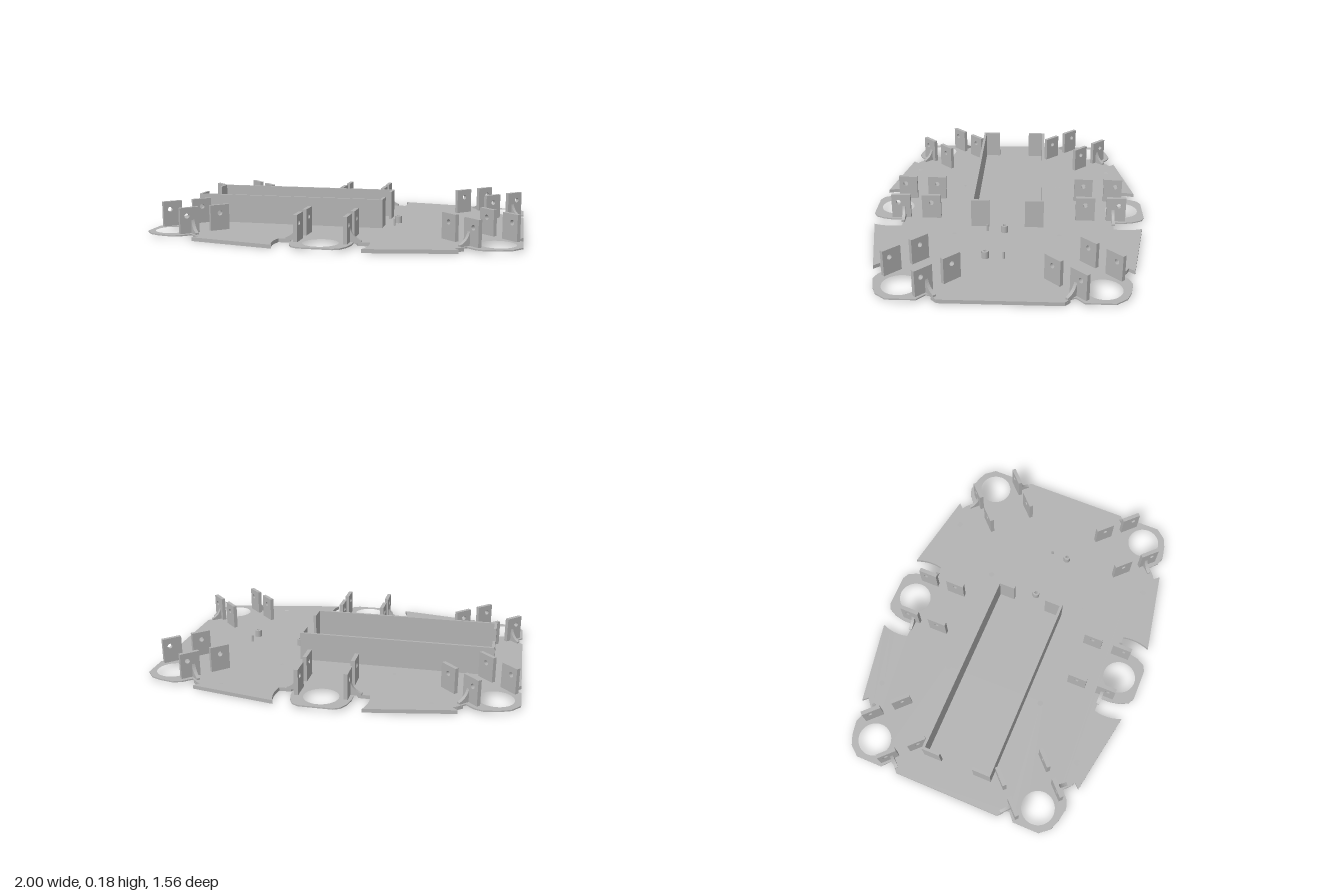
import * as THREE from 'three';

const grey = new THREE.MeshStandardMaterial({ color: 0xb3b3b3 });
grey.name = 'plain grey';

const BASE = 0.02, LIP = 0.013;
const HOLE = 0.093, RECESS = 0.19;

function mesh(name, geo, x = 0, y = 0, z = 0) {
  const m = new THREE.Mesh(geo, grey);
  m.name = name;
  m.position.set(x, y, z);
  return m;
}

function box(name, w, h, d, x, y, z) {
  return mesh(name, new THREE.BoxGeometry(w, h, d), x, y + h / 2, z);
}

// Points along an arc, angles in degrees
function arc(cx, cy, r, a0, a1, n) {
  const pts = [];
  for (let i = 0; i <= n; i++) {
    const a = THREE.MathUtils.degToRad(a0 + (a1 - a0) * i / n);
    pts.push([cx + r * Math.cos(a), cy + r * Math.sin(a)]);
  }
  return pts;
}

function circlePath(x, y, r) {
  const p = new THREE.Path();
  p.absarc(x, y, r, 0, Math.PI * 2, true);
  return p;
}

// Mirror a quarter outline (x >= 0, z >= 0) into a closed shape
function mirroredShape(q) {
  const flip = (sx, sz) => q.map(([x, z]) => new THREE.Vector2(x * sx, z * sz));
  return new THREE.Shape([
    ...flip(1, 1), ...flip(1, -1).reverse(),
    ...flip(-1, -1), ...flip(-1, 1).reverse(),
  ]);
}

// Flat slab from a shape drawn in x and z
function slab(name, shape, bottom, top) {
  const geo = new THREE.ExtrudeGeometry(shape, { depth: top - bottom, bevelEnabled: false, curveSegments: 20 });
  geo.rotateX(Math.PI / 2);
  return mesh(name, geo, 0, top, 0);
}

// Centres of the six motor openings and their outward direction
const mounts = [
  [0, 0.655, 0, 1], [0, -0.655, 0, -1],
  [0.876, 0.498, 1, 1], [-0.876, 0.498, -1, 1],
  [0.876, -0.498, 1, -1], [-0.876, -0.498, -1, -1],
];

// Upright bracket lying along local z, with a bolt hole through it
function bracket(x, z, holeZ) {
  const s = new THREE.Shape();
  s.moveTo(-0.054, 0);
  s.lineTo(0.054, 0);
  s.lineTo(0.054, 0.14);
  s.lineTo(-0.054, 0.14);
  s.closePath();
  s.holes.push(circlePath(-holeZ, 0.095, 0.014));
  const geo = new THREE.ExtrudeGeometry(s, { depth: 0.022, bevelEnabled: false, curveSegments: 10 });
  geo.translate(0, 0, -0.011);
  geo.rotateY(Math.PI / 2);
  return mesh('motorBracket', geo, x, BASE, z);
}

// Curved gusset bracing the outside of a bracket
function gusset(side) {
  const s = new THREE.Shape();
  s.moveTo(0, 0);
  s.lineTo(0.06, 0);
  s.lineTo(0.06, 0.01);
  s.quadraticCurveTo(0.012, 0.025, 0, 0.075);
  s.closePath();
  const geo = new THREE.ExtrudeGeometry(s, { depth: 0.018, bevelEnabled: false, curveSegments: 8 });
  geo.translate(0, 0, -0.009);
  if (side < 0) geo.rotateY(Math.PI);
  return mesh('bracketGusset', geo, side * 0.14, BASE, -0.06);
}

function motorMount([x, z, dx, dz]) {
  const g = new THREE.Group();
  g.name = 'motorMount';
  for (const s of [-1, 1]) {
    g.add(bracket(s * 0.13, -0.043, 0.015), bracket(s * 0.13, -0.217, 0), gusset(s));
  }
  g.position.set(x, 0, z);
  g.rotation.y = Math.atan2(dx, dz);
  return g;
}

// Hollow round standoff
function standoff(x, z) {
  const pts = [[0.009, 0], [0.02, 0], [0.02, 0.04], [0.009, 0.04], [0.009, 0]];
  const geo = new THREE.LatheGeometry(pts.map(p => new THREE.Vector2(...p)), 20).toNonIndexed();
  geo.computeVertexNormals();
  return mesh('standoff', geo, x, BASE, z);
}

export function createModel() {
  const model = new THREE.Group();
  model.name = 'robotChassis';

  // Wing edge between the centre tab and the corner tab
  const wing = [...arc(0, 0.655, 0.25, -14, 23, 6), [0.695, 0.667], [0.668, 0.637], [0.69, 0.625]];

  // Thin upper sheet with the motor tabs
  const sheet = mirroredShape([
    [0.09, 0.778], [0.125, 0.76], [0.148, 0.715], [0.16, 0.66], [0.16, 0.61], [0.145, 0.594],
    ...wing,
    [0.73, 0.588], [0.775, 0.628], [0.82, 0.643], [0.9, 0.628], [0.955, 0.605], [1, 0.55],
    [1, 0.4], [0.955, 0.36], [0.96, 0.342], [1, 0.305],
  ]);
  for (const [x, z] of mounts) sheet.holes.push(circlePath(x, z, HOLE));

  // Thicker underside, cut back in a circle around each motor opening
  const under = mirroredShape([
    ...arc(0, 0.655, RECESS, -88, -19, 10),
    ...wing,
    ...arc(0.876, 0.498, RECESS, 147, 300, 20),
    [1, 0.305],
  ]);

  // Bolt holes through both layers
  for (const shape of [sheet, under]) {
    for (const sx of [-1, 1]) for (const sz of [-1, 1]) {
      shape.holes.push(circlePath(sx * 0.56, sz * 0.608, 0.016));
      shape.holes.push(circlePath(sx * 0.32, sz * 0.289, 0.016));
    }
  }
  model.add(slab('topSheet', sheet, LIP, BASE), slab('undersidePlate', under, 0, LIP));

  for (const m of mounts) model.add(motorMount(m));

  // Battery bay: two long walls with short returns at each end
  const bay = new THREE.Group();
  bay.name = 'batteryBay';
  const t = 0.015, h = 0.16;
  for (const s of [-1, 1]) {
    bay.add(box('bayWall', 1.08, h, t, -0.305, BASE, s * 0.195));
    for (const x of [-0.8375, 0.2275]) bay.add(box('bayEnd', t, h, 0.09, x, BASE, s * 0.1425));
  }
  model.add(bay);

  // Circuit board standoffs and locating pins
  model.add(standoff(0.295, 0.013), standoff(0.587, 0.1));
  for (const [x, z] of [[0.288, 0.108], [0.594, 0.003]]) {
    model.add(mesh('locatingPin', new THREE.CylinderGeometry(0.006, 0.006, 0.04, 12), x, BASE + 0.02, z));
  }
  return model;
}
